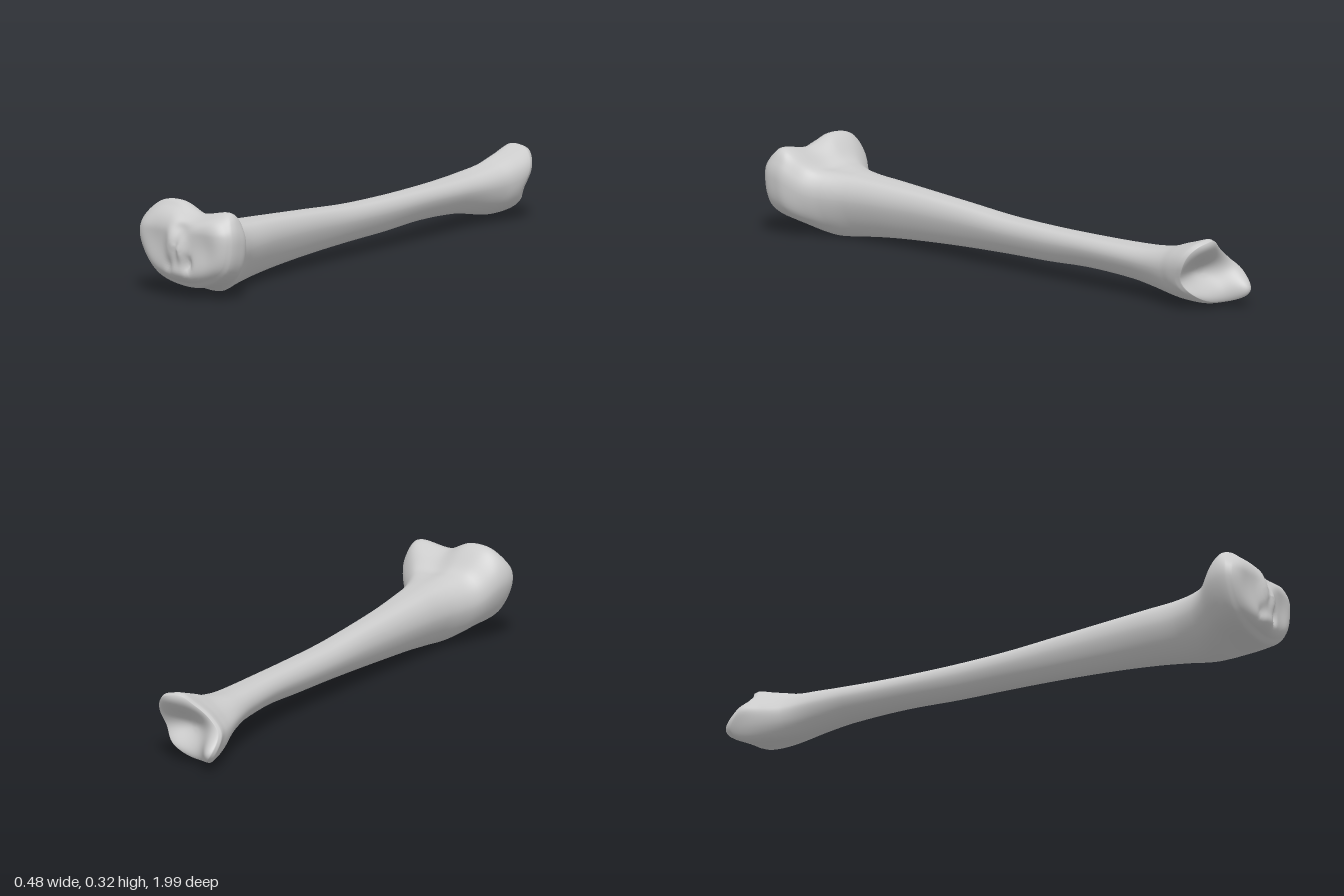
import * as THREE from 'three';

const SEG = 80, STEPS = 5, CAP = 16;

// Three matching outlines, anticlockwise, scaled to a -1..1 box
const outline = (...p) => {
  const pts = [];
  for (let i = 0; i < p.length; i += 2) pts.push(new THREE.Vector3(p[i], p[i + 1], 0));
  const curve = new THREE.CatmullRomCurve3(pts, true, 'centripetal');
  return Array.from({ length: SEG }, (_, i) => curve.getPoint(i / SEG));
};
const kneeShape = outline(1, .14, .95, .55, .78, .85, .18, .76, -.26, 1, -.66, .95,
  -.93, .62, -1, .14, -.71, -.66, -.36, -.93, .28, -1, .85, -.59);
const shaftShape = outline(1, .2, .95, .6, .7, .9, .2, 1, -.25, 1, -.65, .88,
  -.93, .55, -1, .1, -.72, -.5, -.2, -.92, .2, -1, .7, -.5);
const ankleShape = outline(1, .15, .96, .57, .74, .87, .44, .99, .15, 1, -.19, .7,
  -.6, .32, -.96, -.1, -.96, -.62, -.67, -.96, 0, -1, .74, -.57);

// Sections: z, left x, right x, low y, high y, blend (1 knee, 0 shaft, -1 ankle)
const sections = [
  [.945, -.145, .23, .06, .305, 1],
  [.925, -.157, .242, .043, .321, 1],
  [.89, -.158, .244, .037, .323, 1],
  [.85, -.145, .236, .03, .305, .9],
  [.8, -.112, .195, .012, .252, .5],
  [.75, -.09, .16, .004, .236, .2],
  [.67, -.073, .123, .012, .226, 0],
  [.55, -.07, .094, .025, .218, 0],
  [.4, -.07, .067, .036, .208, 0],
  [.2, -.073, .045, .047, .195, 0],
  [0, -.08, .033, .055, .182, 0],
  [-.2, -.088, .022, .06, .178, 0],
  [-.4, -.103, .01, .068, .178, 0],
  [-.6, -.133, .001, .06, .18, 0],
  [-.7, -.155, 0, .045, .186, -.15],
  [-.8, -.183, .01, .026, .203, -.6],
  [-.86, -.213, .022, .019, .228, -.9],
  [-.91, -.238, .027, .018, .248, -1],
  [-.93, -.235, .02, .025, .244, -1],
];

// Smooth interpolation between sections i and i + 1
function sectionAt(i, t) {
  const n = sections.length - 1, a = sections[i], b = sections[i + 1];
  const p = sections[Math.max(i - 1, 0)], q = sections[Math.min(i + 2, n)];
  const dz = b[0] - a[0], t2 = t * t, t3 = t2 * t;
  return a.map((v, k) => {
    if (k === 0) return v + dz * t;
    const m0 = (b[k] - p[k]) / (b[0] - p[0]) * dz, m1 = (q[k] - v) / (q[0] - a[0]) * dz;
    return (2 * t3 - 3 * t2 + 1) * v + (t3 - 2 * t2 + t) * m0 + (3 * t2 - 2 * t3) * b[k] + (t3 - t2) * m1;
  });
}

function ring([z, x0, x1, y0, y1, blend]) {
  const end = blend > 0 ? kneeShape : ankleShape, w = Math.min(Math.abs(blend), 1);
  return shaftShape.map((s, i) => {
    const p = s.clone().lerp(end[i], w);
    return new THREE.Vector3((x0 + x1) / 2 + p.x * (x1 - x0) / 2, (y0 + y1) / 2 + p.y * (y1 - y0) / 2, z);
  });
}

const bump = (x, y, cx, cy, rx, ry = rx) => Math.exp(-(((x - cx) / rx) ** 2) - ((y - cy) / ry) ** 2);
const smooth = THREE.MathUtils.smoothstep;

// Bends the end rims: knee slopes at the rear, ankle has a front lip and a malleolus
function warp(p) {
  const { x, y, z } = p;
  if (z > 0) p.z -= .025 * smooth(z, .84, .94) * smooth(y, .23, .32);
  else p.z += smooth(-z, .8, .92) * (-.042 * bump(x, y, -.05, .24, .09, .06)
    - .068 * bump(x, y, -.22, .06, .05, .06) + .03 * bump(x, y, .03, .1, .05));
  return p;
}

// Knee joint: two shallow dishes either side of a ridge with two spines and pits
const kneeRelief = (x, y) => .03 - .012 * bump(x, y, -.07, .19, .06, .08) - .012 * bump(x, y, .155, .18, .05, .07)
  + .016 * bump(x, y, .015, .19, .022, .06) + .018 * bump(x, y, .06, .17, .018, .04)
  + .012 * bump(x, y, .04, .09, .05, .03)
  - .014 * bump(x, y, .055, .245, .03, .025) - .018 * bump(x, y, .085, .125, .012, .03)
  - .012 * bump(x, y, .005, .11, .015, .03);
// Ankle joint: a hollow saddle
const ankleRelief = (x, y) => -.008 + .05 * bump(x, y, -.08, .125, .085, .055);

// Rings that close an end, from the rim inwards
function capRings(rim, relief, cx, cy) {
  return Array.from({ length: CAP }, (_, k) => {
    const s = 1 - ((k + 1) / (CAP + 1)) ** 1.5;
    return rim.map(p => {
      const q = new THREE.Vector3(cx + (p.x - cx) * s, cy + (p.y - cy) * s, p.z);
      warp(q).z += relief(q.x, q.y) * (1 - s ** 7);
      return q;
    });
  });
}

export function createModel() {
  const body = [];
  for (let i = 0; i < sections.length - 1; i++)
    for (let k = 0; k < STEPS; k++) body.push(ring(sectionAt(i, k / STEPS)));
  body.push(ring(sections[sections.length - 1]));

  const kneeCap = capRings(body[0], kneeRelief, .043, .18).reverse();
  const ankleCap = capRings(body[body.length - 1], ankleRelief, -.1, .115);
  body.forEach(r => r.forEach(warp));
  const rings = [...kneeCap, ...body, ...ankleCap];
  const centre = r => r.reduce((sum, p) => sum.add(p), new THREE.Vector3()).divideScalar(SEG);
  const points = [...rings.flat(), centre(rings[0]), centre(rings[rings.length - 1])];

  // Triangles of the bands between two rings
  const bands = (from, to) => {
    const index = [];
    for (let r = from; r < to; r++) for (let i = 0; i < SEG; i++) {
      const a = r * SEG + i, b = r * SEG + (i + 1) % SEG;
      index.push(a, a + SEG, b, b, a + SEG, b + SEG);
    }
    return index;
  };
  const last = rings.length - 1, hub = rings.length * SEG;
  const kneeEnd = CAP + 5 * STEPS, ankleStart = CAP + 14 * STEPS;
  const kneeFan = [], ankleFan = [];
  for (let i = 0; i < SEG; i++) {
    const j = (i + 1) % SEG;
    kneeFan.push(hub, i, j);
    ankleFan.push(hub + 1, last * SEG + j, last * SEG + i);
  }
  const parts = {
    kneeEnd: [...kneeFan, ...bands(0, kneeEnd)],
    shaft: bands(kneeEnd, ankleStart),
    ankleEnd: [...bands(ankleStart, last), ...ankleFan],
  };

  // Normals come from the whole surface so the parts join without seams
  const whole = new THREE.BufferGeometry().setFromPoints(points);
  whole.setIndex(Object.values(parts).flat());
  whole.computeVertexNormals();

  const material = new THREE.MeshStandardMaterial({ color: 0xcccccc, roughness: .8 });
  const group = new THREE.Group();
  group.name = 'shinBone';
  for (const [name, index] of Object.entries(parts)) {
    const geometry = new THREE.BufferGeometry();
    geometry.setAttribute('position', whole.getAttribute('position'));
    geometry.setAttribute('normal', whole.getAttribute('normal'));
    geometry.setIndex(index);
    const mesh = new THREE.Mesh(geometry, material);
    mesh.name = name;
    group.add(mesh);
  }
  return group;
}
